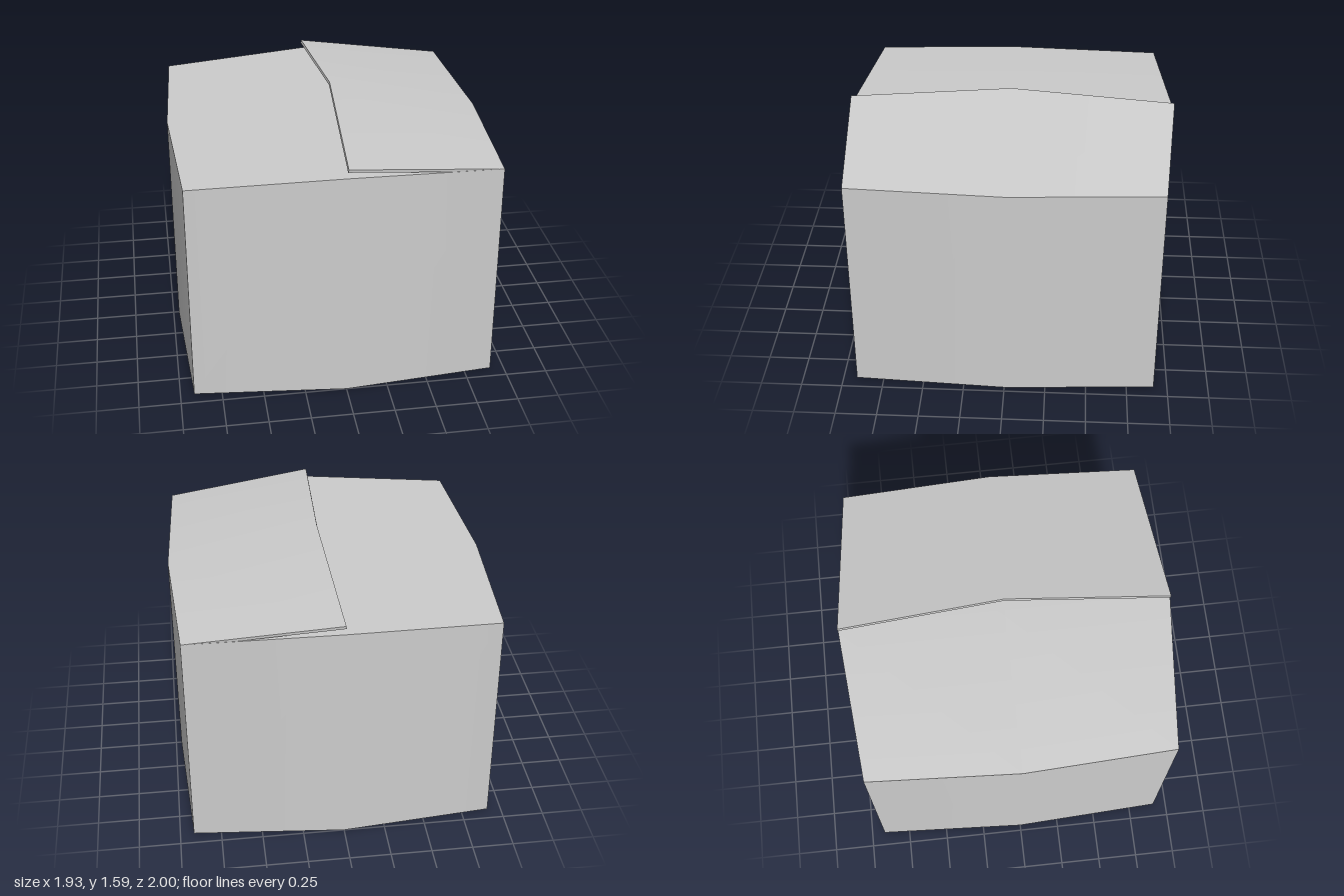
import * as THREE from 'three';

// Smooth sheet from rows of points; columns run right and rows run up, seen from outside.
// Each quad gives its normal equally to its four corners. An inverted sheet faces the other way
// but keeps the same diagonals.
function sheet(rows, inverted) {
  const cols = rows[0].length;
  const points = rows.flat().map((p) => new THREE.Vector3(...p));
  const normals = points.map(() => new THREE.Vector3());
  const index = [];
  for (let r = 0; r < rows.length - 1; r++) {
    for (let c = 0; c < cols - 1; c++) {
      const a = r * cols + c, b = a + 1, d = a + cols, e = d + 1;
      index.push(...(inverted ? [a, e, b, a, d, e] : [a, b, e, a, e, d]));
      const normal = points[e].clone().sub(points[a]).cross(points[d].clone().sub(points[b])).normalize();
      if (inverted) normal.negate();
      for (const i of [a, b, d, e]) normals[i].add(normal);
    }
  }
  const geometry = new THREE.BufferGeometry().setFromPoints(points);
  const flat = normals.flatMap((n) => n.normalize().toArray());
  geometry.setAttribute('normal', new THREE.Float32BufferAttribute(flat, 3));
  geometry.setIndex(index);
  return geometry;
}

export function createModel() {
  const model = new THREE.Group();
  model.name = 'box';
  const cardboard = new THREE.MeshStandardMaterial({ color: 0xcccccc });
  cardboard.name = 'plain grey';

  const add = (parent, name, rows, inverted = false) => {
    const mesh = new THREE.Mesh(sheet(rows, inverted), cardboard);
    mesh.name = name;
    parent.add(mesh);
    return mesh;
  };

  const K = 0.917;   // corner distance
  const SX = 0.965;  // bulge of the side walls
  const SZ = 1;      // bulge of the front and back walls
  const H = 1.385;   // corner height
  const R = 1.433;   // ridge height

  // Bulging walls, each used twice by a half turn
  for (const [turn, endName, sideName] of [[0, 'frontWall', 'leftWall'], [Math.PI, 'backWall', 'rightWall']]) {
    add(model, endName, [
      [[-K, 0, K], [0, 0, SZ], [K, 0, K]],
      [[-K, H, K], [0, R, SZ], [K, H, K]],
    ]).rotation.y = turn;
    add(model, sideName, [
      [[K, 0, K], [SX, 0, 0], [K, 0, -K]],
      [[K, H, K], [SX, H, 0], [K, H, -K]],
    ]).rotation.y = turn;
  }

  // Closed top with a low ridge, and the flat base
  const plan = (h, ridge) => [
    [[-K, h, K], [0, ridge, SZ], [K, h, K]],
    [[-SX, h, 0], [0, ridge, 0], [SX, h, 0]],
    [[-K, h, -K], [0, ridge, -SZ], [K, h, -K]],
  ];
  add(model, 'closedTop', plan(H, R));
  add(model, 'base', plan(0, 0), true);

  // Raised flap of even thickness, square to its slope, its hinge sunk into the top
  const flap = new THREE.Group();
  flap.name = 'raisedFlap';
  model.add(flap);
  const drop = (row) => row.map(([x, y, z]) => [x - 0.004, y - 0.018, z * 0.998]);
  const flip = (row) => [...row].reverse();
  const hinge = [[K, H, K], [SX, H, 0], [K, H, -K]];
  const upper = [[0, 1.488, SZ], [0.045, 1.59, 0], [0, 1.488, -SZ]];
  const hingeLow = drop(hinge);
  const lower = drop(upper);
  add(flap, 'flapUpperFace', [hinge, upper]);
  add(flap, 'flapUnderside', [hingeLow, lower], true);
  add(flap, 'flapInnerEdge', [flip(lower), flip(upper)]);
  add(flap, 'flapHingeEdge', [hingeLow, hinge]);
  add(flap, 'flapFrontEdge', [[lower[0], hingeLow[0]], [upper[0], hinge[0]]]);
  add(flap, 'flapBackEdge', [[hingeLow[2], lower[2]], [hinge[2], upper[2]]]);

  return model;
}
